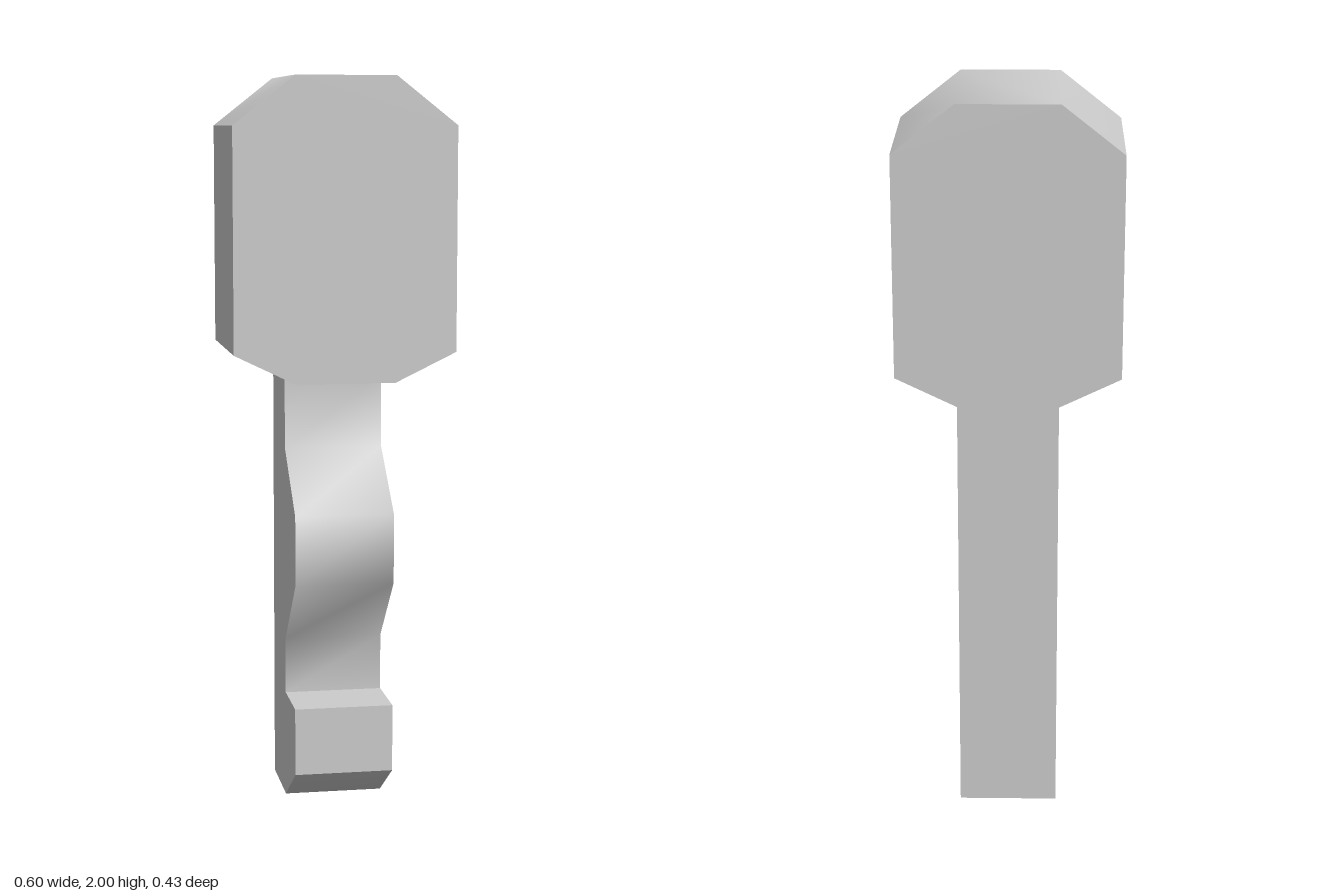
import * as THREE from 'three';
import { toCreasedNormals } from 'three/addons/utils/BufferGeometryUtils.js';

const material = new THREE.MeshStandardMaterial({ color: 0xcccccc });

// Extrude a closed outline, centred on its depth, with edges sharper than the crease angle kept hard
function prism(points, depth, crease) {
  const shape = new THREE.Shape(points.map(([x, y]) => new THREE.Vector2(x, y)));
  const geometry = new THREE.ExtrudeGeometry(shape, { depth, bevelEnabled: false });
  geometry.translate(0, 0, -depth / 2);
  return toCreasedNormals(geometry, THREE.MathUtils.degToRad(crease));
}

function addPart(group, name, geometry) {
  const mesh = new THREE.Mesh(geometry, material);
  mesh.name = name;
  group.add(mesh);
}

export function createModel() {
  const group = new THREE.Group();
  group.name = 'key';

  // Eight-sided grip, symmetric in x
  const half = [[0.135, 1.19], [0.3, 1.27], [0.3, 1.87], [0.135, 2]];
  const mirrored = half.map(([x, y]) => [-x, y]).reverse();
  addPart(group, 'head', prism([...half, ...mirrored], 0.434, 45));

  // Shaft with its two teeth, outlined in (z, y)
  const profile = [
    [-0.217, 0], [0.01, 0],
    [0.19, 0.11], [0.19, 0.295], [0.01, 0.295],  // lower tooth
    [0.01, 0.45], [0.2, 0.64], [0.2, 0.83], [0.01, 0.99],  // upper tooth
    [0.01, 1.19], [-0.217, 1.19],
  ];
  addPart(group, 'toothedShaft', prism(profile, 0.27, 55).rotateY(-Math.PI / 2));

  return group;
}
